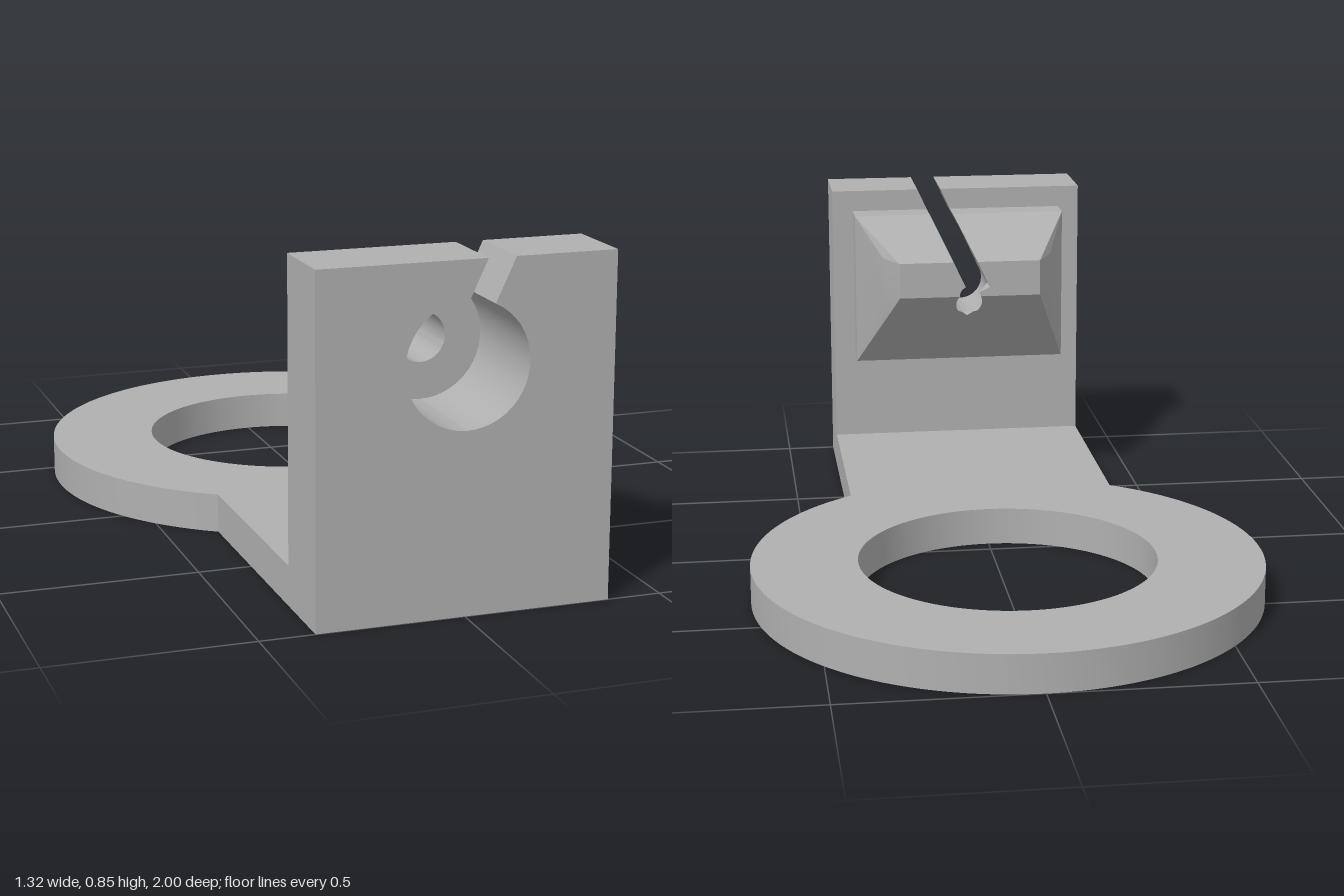
import * as THREE from 'three';
import { toCreasedNormals } from 'three/addons/utils/BufferGeometryUtils.js';

const CY = 0.6;                       // bore height
const TILT = THREE.MathUtils.degToRad(25);
const SLOT = 0.062;                   // slot width, also small bore radius
const D = [Math.sin(TILT), Math.cos(TILT)];   // direction along the slot
const N = [Math.cos(TILT), -Math.sin(TILT)];  // direction across the slot
const ARC = 20;

// Outer corners, right side, listed top to bottom
const plate = (z, r) => ({ z, r, pts: [[0.365, 0.845], [0.365, 0.845], [0.365, 0], [0.365, 0]] });

function nose(z, r) {
  const lerp = THREE.MathUtils.lerp;
  const t = THREE.MathUtils.clamp((0.72 - z) / 0.27, 0, 1);
  const u = Math.min(1, Math.max(0, (0.72 - z) / 0.19));
  const v = Math.max(0, (0.53 - z) / 0.08);
  const x = lerp(0.305, 0.2, t);
  const mx = lerp(lerp(0.305, 0.24, u), 0.2, v);
  return { z, r, pts: [
    [x, lerp(0.785, 0.7, t)], [mx, lerp(0.785, 0.7, u)],
    [mx, lerp(0.35, 0.6, u)], [x, lerp(0.35, 0.6, t)]] };
}

// Half of a slotted section: slot mouth, outside, bottom centre, bore arc, slot root
function section({ r, pts }, side) {
  const off = side < 0 ? -SLOT : 0;
  const top = pts[0][1], low = pts[3][1];
  const out = [[off / N[0] + (top - CY) * D[0] / D[1], top]];
  pts.forEach(([x, y]) => out.push([side * x, y]));
  out.push([0, low]);
  const start = Math.PI / 2 - TILT + (side < 0 ? Math.asin(Math.min(1, SLOT / r)) : 0);
  const end = side < 0 ? Math.PI * 1.5 : -Math.PI / 2;
  for (let i = 0; i <= ARC; i++) {
    const a = end + (start - end) * i / ARC;
    out.push([r * Math.cos(a), CY + r * Math.sin(a)]);
  }
  const s = Math.sqrt(Math.max(0, r * r - off * off));
  out.push([off * N[0] + s * D[0], CY + off * N[1] + s * D[1]]);
  // Where the bore breaks out through the sloping underside
  if (CY - r < low) {
    const xi = side * Math.sqrt(Math.max(0, r * r - (low - CY) ** 2));
    for (let i = 5; i < out.length; i++) {
      if (out[i][1] <= low + 1e-6) out[i] = [xi, low];
    }
  }
  return side < 0 ? out : out.reverse();
}

function loftHalf(stations, side) {
  const rings = stations.map((st) => section(st, side).map(([x, y]) => new THREE.Vector3(x, y, st.z)));
  const pos = [];
  const tri = (a, b, c) => {
    const area = b.clone().sub(a).cross(c.clone().sub(a)).length();
    if (area > 1e-8) [a, b, c].forEach((p) => pos.push(p.x, p.y, p.z));
  };
  const n = rings[0].length;
  const seam = side < 0 ? 5 : n - 7;  // open edge where the halves meet
  for (let k = 0; k < rings.length - 1; k++) {
    const a = rings[k], b = rings[k + 1];
    for (let i = 0; i < n; i++) {
      if (i === seam) continue;
      const j = (i + 1) % n;
      tri(a[i], b[i], a[j]);
      tri(a[j], b[i], b[j]);
    }
  }
  const cap = (ring, flip) => {
    const flat = ring.map((p) => new THREE.Vector2(p.x, p.y));
    THREE.ShapeUtils.triangulateShape(flat, []).forEach(([i, j, k]) =>
      (flip ? tri(ring[k], ring[j], ring[i]) : tri(ring[i], ring[j], ring[k])));
  };
  cap(rings[0], false);
  cap(rings[rings.length - 1], true);
  const geo = new THREE.BufferGeometry();
  geo.setAttribute('position', new THREE.Float32BufferAttribute(pos, 3));
  return toCreasedNormals(geo, 0.3);
}

export function createModel() {
  const group = new THREE.Group();
  group.name = 'bracket';
  const grey = new THREE.MeshStandardMaterial({ color: 0xb0b0b0 });
  grey.name = 'grey';
  const add = (name, geo) => {
    const mesh = new THREE.Mesh(geo, grey);
    mesh.name = name;
    group.add(mesh);
  };

  // Flat ring with a tab running forward to the plate
  const R = 0.66, C = 0.34, W = 0.365;
  const drop = Math.sqrt(R * R - W * W);
  const a = Math.atan2(drop, W);
  const shape = new THREE.Shape();
  shape.moveTo(-W, -0.8);
  shape.lineTo(W, -0.8);
  shape.lineTo(W, C - drop);
  shape.absarc(0, C, R, -a, Math.PI + a, false);
  shape.closePath();
  const hole = new THREE.Path();
  hole.absarc(0, C, 0.385, 0, Math.PI * 2, true);
  shape.holes.push(hole);
  const base = new THREE.ExtrudeGeometry(shape, { depth: 0.1, bevelEnabled: false, curveSegments: 64 });
  base.rotateX(-Math.PI / 2);
  add('baseRing', toCreasedNormals(base, 0.4));

  // Upright plate and tapered nose, with stepped bore and tilted slot
  const stations = [plate(1, 0.153), plate(0.8, 0.153), nose(0.8, 0.153), nose(0.72, 0.153),
    nose(0.7, 0.153), nose(0.7, SLOT), nose(0.53, SLOT), nose(0.515, SLOT)];
  for (let i = 0; i <= 10; i++) {
    const z = 0.51 - 0.006 * i;
    stations.push(nose(z, SLOT - 0.0032 * i));
  }
  add('uprightRightHalf', loftHalf(stations, -1));
  add('uprightLeftHalf', loftHalf(stations, 1));
  return group;
}
